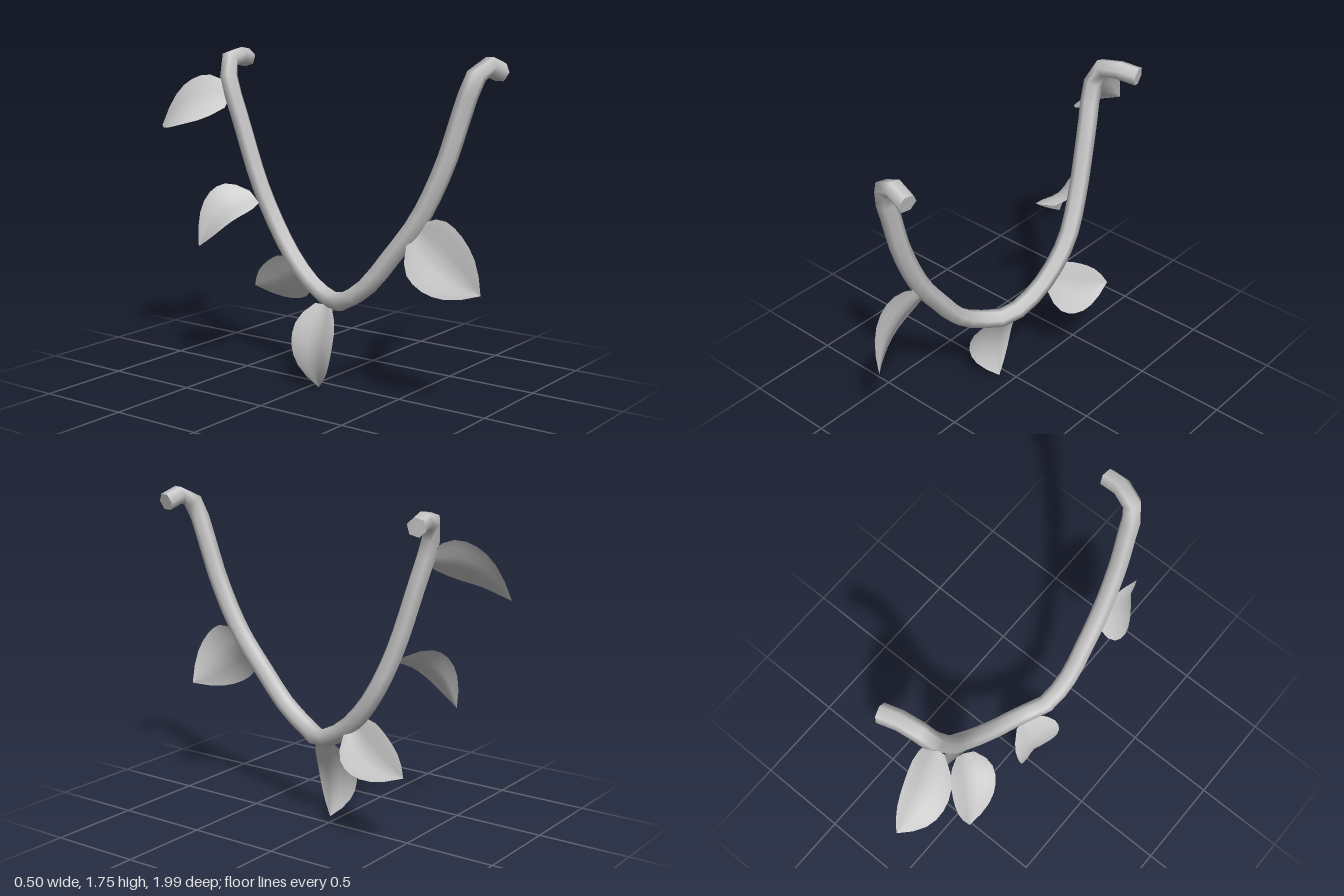
import * as THREE from 'three';

const V = (a) => new THREE.Vector3(...a);
const material = new THREE.MeshStandardMaterial({ color: 0xcccccc });
const leafMaterial = new THREE.MeshStandardMaterial({ color: 0xcccccc, side: THREE.DoubleSide });

// Hanging stem: hooked at both ends, swinging sideways as it dips
const STEM = [
  [0.19, 1.675, 0.94], [0.06, 1.71, 0.92], [0.0, 1.64, 0.9], [-0.02, 1.48, 0.85],
  [-0.04, 1.235, 0.775], [-0.06, 0.96, 0.645], [-0.075, 0.77, 0.505], [-0.085, 0.58, 0.345],
  [-0.065, 0.483, 0.185], [-0.005, 0.467, 0.07], [0.035, 0.525, -0.08], [0.06, 0.64, -0.22],
  [0.07, 0.8, -0.34], [0.05, 1.02, -0.44], [0.02, 1.35, -0.54], [0.0, 1.6, -0.61],
  [0.03, 1.68, -0.63], [0.1, 1.7, -0.64], [0.235, 1.685, -0.675],
];
const RADIUS = 0.05;
const SIDES = 6;

// Each leaf: base, tip, full width vector, and how far its middle bows out
const LEAVES = [
  { base: [-0.03, 0.44, 0.05], tip: [-0.08, 0.005, 0.05], side: [0.05, 0, -0.3], bow: [-0.075, 0, 0] },
  { base: [-0.07, 0.89, 0.63], tip: [-0.03, 0.62, 0.98], side: [0.1, 0.28, 0.17], bow: [-0.065, 0.015, 0.01] },
  { base: [0.06, 0.59, -0.19], tip: [0.17, 0.42, -0.58], side: [-0.1, 0.21, -0.16], bow: [0.015, -0.025, 0.03] },
  { base: [-0.02, 0.96, -0.42], tip: [-0.23, 0.7, -0.64], side: [0.09, 0.13, -0.23], bow: [-0.04, 0.08, 0] },
  { base: [-0.02, 1.48, -0.6], tip: [-0.11, 1.32, -1.0], side: [0.18, 0.24, -0.06], bow: [-0.05, 0.05, -0.01] },
];

// Relative leaf width from base to tip
const WIDTHS = [0.4, 0.78, 0.96, 1, 0.97, 0.88, 0.71, 0.42, 0];

function leafGeometry({ base, tip, side, bow }) {
  const a = V(base), b = V(tip), across = V(side), out = V(bow);
  const control = a.clone().lerp(b, 0.5).addScaledVector(out, 2);
  const spine = new THREE.QuadraticBezierCurve3(a, control, b);
  // Midrib is pressed in against the bow
  const fold = new THREE.Vector3().crossVectors(across, b.clone().sub(a)).normalize();
  if (fold.dot(out) > 0) fold.negate();

  const rows = WIDTHS.length - 1;
  const geometry = new THREE.PlaneGeometry(1, 1, 6, rows);
  const pos = geometry.attributes.position;
  for (let i = 0; i < pos.count; i++) {
    const s = pos.getX(i);
    const t = 0.5 - pos.getY(i);
    const w = WIDTHS[Math.round(t * rows)];
    const p = spine.getPoint(t)
      .addScaledVector(across, s * w)
      .addScaledVector(fold, 0.016 * w * Math.cos(2 * Math.PI * s));
    pos.setXYZ(i, p.x, p.y, p.z);
  }
  geometry.computeVertexNormals();
  return geometry;
}

export function createModel() {
  const group = new THREE.Group();
  group.name = 'leafyVine';

  const add = (name, geometry, mat = material) => {
    const mesh = new THREE.Mesh(geometry, mat);
    mesh.name = name;
    group.add(mesh);
  };

  // Stem tube
  const curve = new THREE.CatmullRomCurve3(STEM.map(V), false, 'centripetal');
  const segments = 34;
  const tube = new THREE.TubeGeometry(curve, segments, RADIUS, SIDES);
  add('stem', tube);

  // Flat caps lined up with the tube's end rings
  for (const [name, i, dir] of [['frontStemEnd', 0, -1], ['backStemEnd', segments, 1]]) {
    const cap = new THREE.CircleGeometry(RADIUS, SIDES);
    const basis = new THREE.Matrix4().makeBasis(
      tube.normals[i],
      tube.binormals[i].clone().multiplyScalar(dir),
      tube.tangents[i].clone().multiplyScalar(dir),
    );
    cap.applyMatrix4(basis.setPosition(curve.getPointAt(i / segments)));
    add(name, cap);
  }

  // Leaves
  LEAVES.forEach((leaf, i) => add(`leaf${i + 1}`, leafGeometry(leaf), leafMaterial));

  return group;
}
